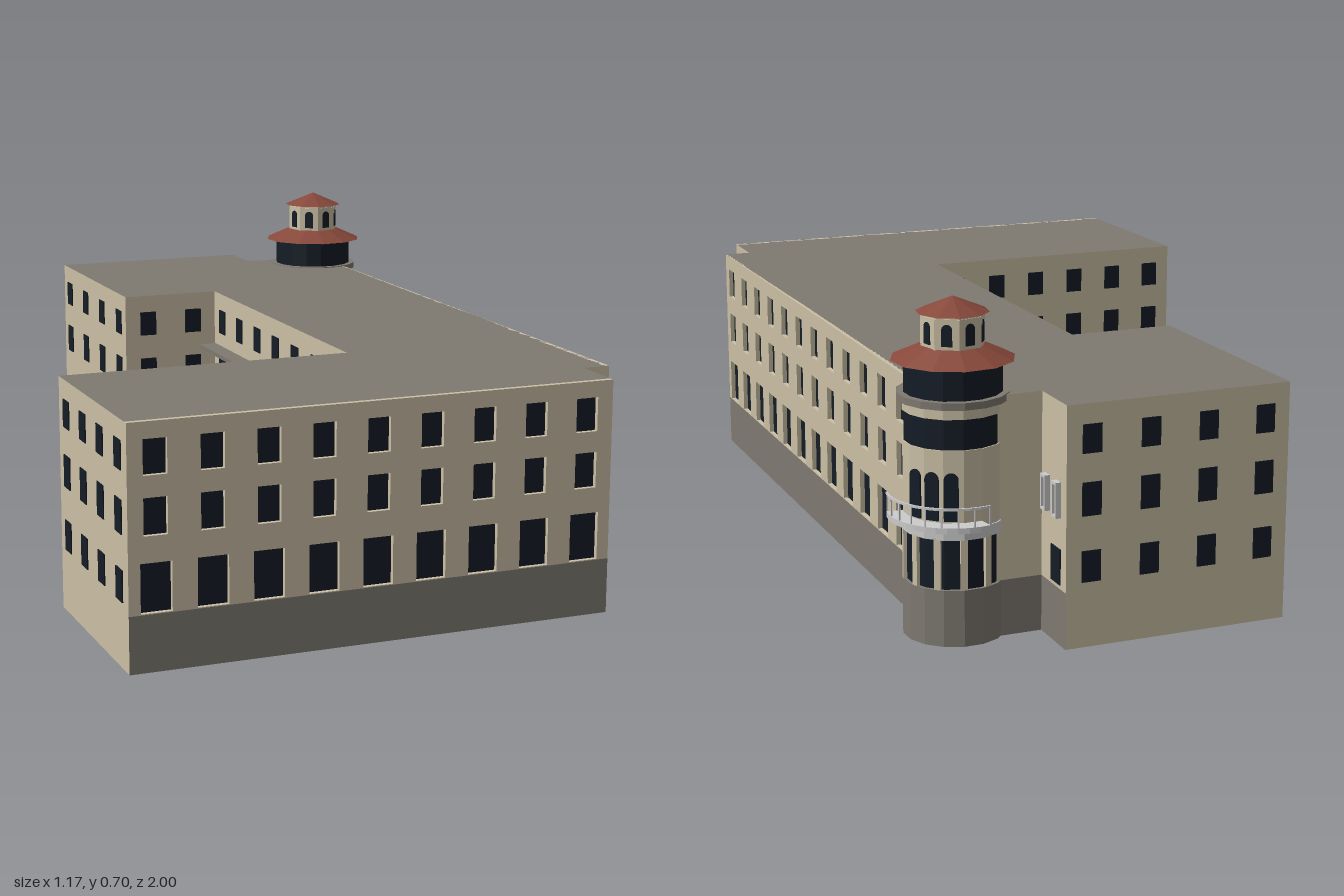
import * as THREE from 'three';

const mat = (color) => new THREE.MeshStandardMaterial({ color, flatShading: true, side: THREE.DoubleSide });
const H = 0.51, BASE = 0.12, TURN = 0.1645;

export function createModel() {
  const stone = mat(0xcbc0a6), plinth = mat(0x7f7a72), roofGrey = mat(0x7f7a70);
  const glass = mat(0x141c26), tile = mat(0x87483a), pale = mat(0xcccccc);
  const root = new THREE.Group();
  const building = new THREE.Group();
  building.name = 'building';
  building.rotation.y = TURN;
  root.add(building);

  const add = (parent, name, geo, material, x = 0, y = 0, z = 0) => {
    const m = new THREE.Mesh(geo, material);
    m.name = name;
    m.position.set(x, y, z);
    parent.add(m);
    return m;
  };
  const rect = (ShapeType, x0, x1, y0, y1) => new ShapeType([
    new THREE.Vector2(x0, y0), new THREE.Vector2(x1, y0), new THREE.Vector2(x1, y1), new THREE.Vector2(x0, y1)]);

  // Window rows: [bottom, top, width]
  const grandRows = [[0.122, 0.225, 0.066], [0.28, 0.357, 0.05], [0.402, 0.475, 0.05]];
  const plainRows = [[0.139, 0.205, 0.042], [0.278, 0.348, 0.042], [0.408, 0.468, 0.042]];

  // One facade between two plan points; local +z faces outward
  function wall(name, [x0, z0], [x1, z1], { cols = 0, first = 0.055, last = 0.055, base = false, cut = false } = {}) {
    const len = Math.hypot(x1 - x0, z1 - z0), t = 0.012;
    const g = new THREE.Group();
    g.name = name;
    g.position.set(x0, 0, z0);
    g.rotation.y = Math.atan2(z0 - z1, x1 - x0);
    building.add(g);
    const face = rect(THREE.Shape, 0, len, base ? BASE : 0, H);
    for (let i = 0; i < cols; i++) {
      const x = first + (len - first - last) * i / (cols - 1);
      for (const [y0, y1, w] of cut ? grandRows : plainRows) {
        if (cut) face.holes.push(rect(THREE.Path, x - w / 2, x + w / 2, y0, y1));
        add(g, 'windowPane', new THREE.BoxGeometry(w, y1 - y0, 0.003), glass, x, (y0 + y1) / 2, cut ? -t : 0.001);
      }
    }
    const geo = cut ? new THREE.ExtrudeGeometry(face, { depth: t, bevelEnabled: false }) : new THREE.ShapeGeometry(face);
    add(g, 'wallFace', geo, stone, 0, 0, cut ? -t : 0);
    if (base) add(g, 'plinth', new THREE.PlaneGeometry(len, BASE), plinth, len / 2, BASE / 2, 0);
    return g;
  }

  // Footprint, counter-clockwise from the south-west corner
  const P = [[-0.67, 0.898], [0.4, 0.898], [0.4, 0.77], [0.464, 0.77], [0.464, -0.85], [0.25, -0.85],
    [0.25, -0.973], [-0.248, -0.973], [-0.248, -0.422], [-0.007, -0.422], [-0.007, 0.434], [-0.67, 0.434]];
  const facades = [
    ['southFacade', { cols: 9, first: 0.058, last: 0.06, base: true, cut: true }],
    ['notchReturn', { base: true }],
    ['notchFront', { base: true }],
    ['eastFacade', { cols: 12, first: 0.053, last: 0.252, base: true, cut: true }],
    ['towerReturn', { base: true }],
    ['northBlockEast', { base: true }],
    ['northFacade', { cols: 4 }],
    ['northBlockWest', { cols: 4 }],
    ['northBlockSouth', { cols: 2, first: 0.06, last: 0.06 }],
    ['courtyardWall', { cols: 7, first: 0.06, last: 0.06 }],
    ['southWingNorth', { cols: 6 }],
    ['southWingWest', { cols: 4 }],
  ];
  const walls = {};
  facades.forEach(([name, o], i) => { walls[name] = wall(name, P[i], P[(i + 1) % P.length], o); });

  // Flat roof
  const roof = new THREE.ShapeGeometry(new THREE.Shape(P.map(([x, z]) => new THREE.Vector2(x, -z))));
  add(building, 'flatRoof', roof.rotateX(-Math.PI / 2), roofGrey, 0, H, 0);

  // Courtyard gallery ledges
  for (const y of [0.25, 0.37]) {
    add(building, 'galleryLedge', new THREE.BoxGeometry(0.043, 0.01, 0.835), roofGrey, -0.0285, y, 0.002);
  }

  // Windows and pale frame on the short wall beside the tower
  const side = walls.northBlockEast;
  add(side, 'sideWindow', new THREE.BoxGeometry(0.045, 0.075, 0.004), glass, 0.075, 0.167, 0.001);
  for (const x of [0.03, 0.085]) {
    const frame = rect(THREE.Shape, -0.011, 0.011, 0.27, 0.345);
    frame.holes.push(rect(THREE.Path, -0.006, 0.006, 0.276, 0.339));
    add(side, 'windowFrame', new THREE.ExtrudeGeometry(frame, { depth: 0.012, bevelEnabled: false }), pale, x, 0, 0);
  }

  // Corner tower
  const tower = new THREE.Group();
  tower.name = 'tower';
  tower.position.set(0.281, 0, -0.832);
  root.add(tower);
  const drum = (name, r0, r1, y0, y1, n, m) =>
    add(tower, name, new THREE.CylinderGeometry(r1, r0, y1 - y0, n), m, 0, (y0 + y1) / 2, 0);
  // Places a mesh on the tower at an angle north of east, facing outward
  const around = (name, geo, m, deg, r, y) => {
    const a = THREE.MathUtils.degToRad(deg);
    add(tower, name, geo, m, r * Math.cos(a), y, -r * Math.sin(a)).rotation.y = a + Math.PI / 2;
  };
  drum('towerPlinth', 0.107, 0.107, 0, BASE, 16, plinth);
  drum('arcadeGlazing', 0.1, 0.1, BASE, 0.23, 16, glass);
  drum('towerShaft', 0.105, 0.105, 0.225, 0.412, 16, stone);
  drum('windowBand', 0.102, 0.102, 0.412, 0.475, 16, glass);
  drum('towerCrown', 0.105, 0.105, 0.475, 0.497, 16, stone);
  drum('cornice', 0.116, 0.116, 0.497, 0.512, 16, roofGrey);
  drum('lanternGlazing', 0.102, 0.102, 0.512, 0.582, 16, glass);
  drum('lowerRoof', 0.128, 0.066, 0.578, 0.606, 12, tile);
  drum('cupola', 0.066, 0.066, 0.604, 0.668, 8, stone);
  drum('upperRoof', 0.075, 0.001, 0.673, 0.704, 10, tile);
  drum('upperEave', 0.064, 0.064, 0.667, 0.674, 8, stone);

  // Arched openings
  const arch = (w, h) => {
    const s = new THREE.Shape();
    s.moveTo(-w / 2, 0);
    s.lineTo(w / 2, 0);
    s.lineTo(w / 2, h - w / 2);
    s.absarc(0, h - w / 2, w / 2, 0, Math.PI, false);
    return new THREE.ExtrudeGeometry(s, { depth: 0.004, bevelEnabled: false, curveSegments: 6 });
  };
  for (const deg of [32, 54, 76]) around('archedWindow', arch(0.03, 0.1), glass, deg, 0.103, 0.266);
  for (let i = 0; i < 8; i++) around('cupolaWindow', arch(0.022, 0.045), glass, i * 45 + 22.5, 0.0585, 0.613);
  for (let i = 0; i < 12; i++) around('arcadePier', new THREE.BoxGeometry(0.014, 0.11, 0.012), stone, i * 30, 0.1, 0.175);

  // Curved balcony facing the outer corner
  const start = THREE.MathUtils.degToRad(90 - 3), span = THREE.MathUtils.degToRad(114);
  const arc = (name, r0, r1, y0, y1) => add(tower, name, new THREE.LatheGeometry(
    [[r0, y0], [r1, y0], [r1, y1], [r0, y1], [r0, y0]].map(([x, y]) => new THREE.Vector2(x, y)), 12, start, span), pale);
  arc('balconyFloor', 0.1, 0.138, 0.25, 0.262);
  arc('balconyRail', 0.135, 0.139, 0.298, 0.303);
  for (let i = 0; i <= 8; i++) around('baluster', new THREE.BoxGeometry(0.003, 0.04, 0.003), pale, -3 + i * 14.25, 0.136, 0.28);
  drum('stringCourse', 0.108, 0.108, 0.226, 0.25, 16, pale);

  return root;
}
